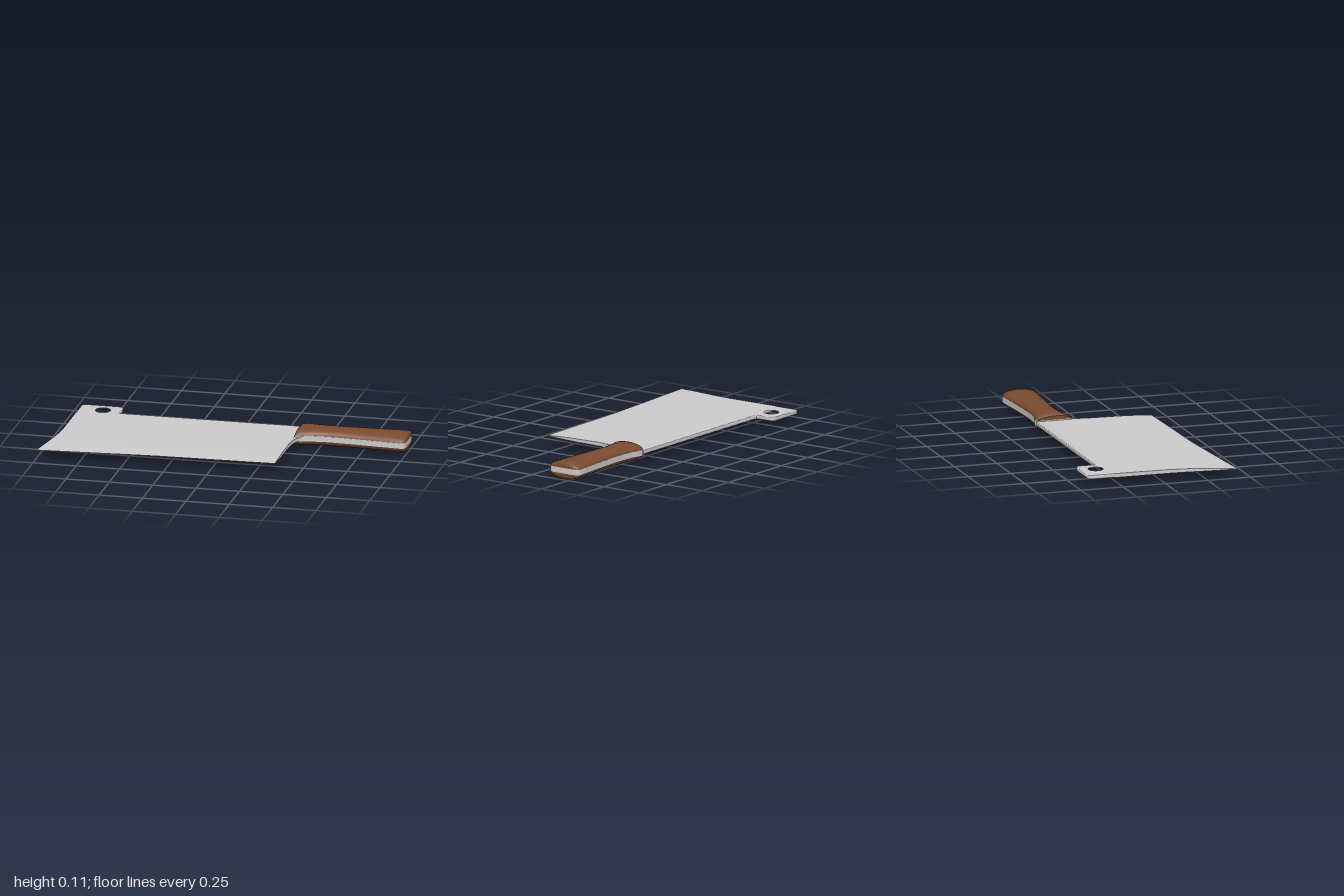
import * as THREE from 'three';
import { toCreasedNormals } from 'three/addons/utils/BufferGeometryUtils.js';

const MID = 0.055; // height of the blade's centre plane
const steel = new THREE.MeshStandardMaterial({ color: 0xcccccc });
const wood = new THREE.MeshStandardMaterial({ color: 0x7a4a30 });
const lerp = THREE.MathUtils.lerp;

// Skin over closed rings of [x, y, z] points, with optional end caps
function loft(rings, capped) {
  const n = rings[0].length;
  const pos = rings.flat(2);
  const index = [];
  for (let i = 0; i < rings.length - 1; i++) {
    for (let j = 0; j < n; j++) {
      const a = i * n + j, b = i * n + (j + 1) % n;
      index.push(a, b, b + n, a, b + n, a + n);
    }
  }
  if (capped) {
    for (const i of [0, rings.length - 1]) {
      const c = pos.length / 3;
      for (let k = 0; k < 3; k++) pos.push(rings[i].reduce((s, p) => s + p[k], 0) / n);
      for (let j = 0; j < n; j++) {
        const a = i * n + j, b = i * n + (j + 1) % n;
        if (i) index.push(c, a, b); else index.push(c, b, a);
      }
    }
  }
  const geo = new THREE.BufferGeometry();
  geo.setAttribute('position', new THREE.Float32BufferAttribute(pos, 3));
  geo.setIndex(index);
  return toCreasedNormals(geo, 0.7);
}

// Flat plate from a shape drawn in (x, z), centred on the blade plane
function plate(shape, half, bevel) {
  const geo = new THREE.ExtrudeGeometry(shape, {
    depth: 2 * (half - bevel), steps: 1, curveSegments: 12, bevelEnabled: bevel > 0,
    bevelThickness: bevel, bevelSize: bevel, bevelOffset: -bevel, bevelSegments: 3,
  });
  geo.translate(0, 0, bevel - half).rotateX(Math.PI / 2).translate(0, MID, 0);
  return toCreasedNormals(geo, 0.7);
}

function add(parent, name, geo, mat) {
  const mesh = new THREE.Mesh(geo, mat);
  mesh.name = name;
  parent.add(mesh);
}

// Piecewise-linear lookup in [key, value] pairs
function sample(table, t) {
  let i = 0;
  while (i < table.length - 2 && t > table[i + 1][0]) i++;
  const [a, b] = [table[i], table[i + 1]];
  return lerp(a[1], b[1], (t - a[0]) / (b[0] - a[0]));
}

// Tapered blade: rows run from the spine to the cutting edge
function bladeGeometry() {
  const thickness = [[0, 0.0115], [0.4, 0.011], [0.72, 0.009], [0.85, 0.0062], [0.95, 0.0025], [1, 0]];
  const edge = [[-1, 0.427], [-0.85, 0.403], [-0.7, 0.381], [0.362, 0.364]];
  const rows = 24, cols = 32, rings = [];
  for (let i = 0; i <= rows; i++) {
    const v = i / rows;
    const left = -0.935 - 0.065 * Math.pow(Math.max(0, (v - 0.4) / 0.6), 1.8);
    const h = sample(thickness, v);
    const top = [], bottom = [];
    for (let j = 0; j <= cols; j++) {
      const x = lerp(0.362, left, j / cols);
      const z = lerp(-0.28, sample(edge, x), v);
      top.push([x, MID + h, z]);
      bottom.unshift([x, MID - h, z]);
    }
    rings.push([...top, ...bottom]);
  }
  return loft(rings, true);
}

// Spine strip with the raised hanging tab and its hole
function spineGeometry() {
  const s = new THREE.Shape();
  s.moveTo(-0.935, -0.27);
  s.lineTo(0.375, -0.27);
  s.lineTo(0.375, -0.316);
  s.lineTo(-0.68, -0.316);
  s.quadraticCurveTo(-0.695, -0.316, -0.695, -0.331);
  s.lineTo(-0.695, -0.4);
  s.quadraticCurveTo(-0.695, -0.434, -0.73, -0.434);
  s.lineTo(-0.91, -0.434);
  s.quadraticCurveTo(-0.935, -0.434, -0.935, -0.409);
  s.closePath();
  s.holes.push(new THREE.Path().absarc(-0.797, -0.346, 0.047, 0, Math.PI * 2, true));
  return plate(s, 0.0115, 0.004);
}

// Handle stations: x, back z, front z, half height
const stations = [
  [0.364, -0.304, -0.108, 0.038], [0.373, -0.311, -0.106, 0.047], [0.4, -0.314, -0.117, 0.052],
  [0.45, -0.301, -0.133, 0.0525], [0.52, -0.294, -0.14, 0.0525], [0.6, -0.293, -0.14, 0.0525],
  [0.7, -0.297, -0.135, 0.0525], [0.8, -0.303, -0.128, 0.0525], [0.9, -0.311, -0.121, 0.0525],
  [0.965, -0.316, -0.117, 0.0525], [0.984, -0.315, -0.118, 0.05], [0.994, -0.306, -0.127, 0.043],
  [0.998, -0.285, -0.148, 0.035],
];
const TANG = 0.016;

// One half-oval wooden scale, above (side 1) or below (side -1) the tang
function scaleGeometry(side) {
  const rings = stations.map(([x, back, front, h]) => {
    const ring = [];
    for (let k = 0; k <= 16; k++) {
      const t = Math.PI * k / 16;
      const z = (back + front) / 2 - Math.cos(t) * (front - back) / 2;
      ring.push([x, MID + side * (TANG + (h - TANG) * Math.sin(t)), z]);
    }
    return side > 0 ? ring : ring.reverse();
  });
  return loft(rings, true);
}

// Steel tang following the handle outline
function tangGeometry() {
  const back = stations.map(([x, b]) => new THREE.Vector2(x, b - 0.001));
  const front = stations.map(([x, , f]) => new THREE.Vector2(x, f + 0.001)).reverse();
  return plate(new THREE.Shape([...back, ...front]), TANG, 0);
}

// Small curved web joining the blade heel to the handle
function heelGeometry() {
  const s = new THREE.Shape();
  s.moveTo(0.355, 0.03);
  s.lineTo(0.362, 0.03);
  s.quadraticCurveTo(0.364, -0.085, 0.4, -0.116);
  s.lineTo(0.4, -0.2);
  s.lineTo(0.355, -0.2);
  s.closePath();
  return plate(s, 0.0108, 0);
}

export function createModel() {
  const model = new THREE.Group();
  model.name = 'cleaver';

  const blade = new THREE.Group();
  blade.name = 'blade';
  add(blade, 'bladeBody', bladeGeometry(), steel);
  add(blade, 'spineWithHangingTab', spineGeometry(), steel);
  add(blade, 'heelWeb', heelGeometry(), steel);

  const handle = new THREE.Group();
  handle.name = 'handle';
  add(handle, 'tang', tangGeometry(), steel);
  add(handle, 'upperScale', scaleGeometry(1), wood);
  add(handle, 'lowerScale', scaleGeometry(-1), wood);

  model.add(blade, handle);
  return model;
}
